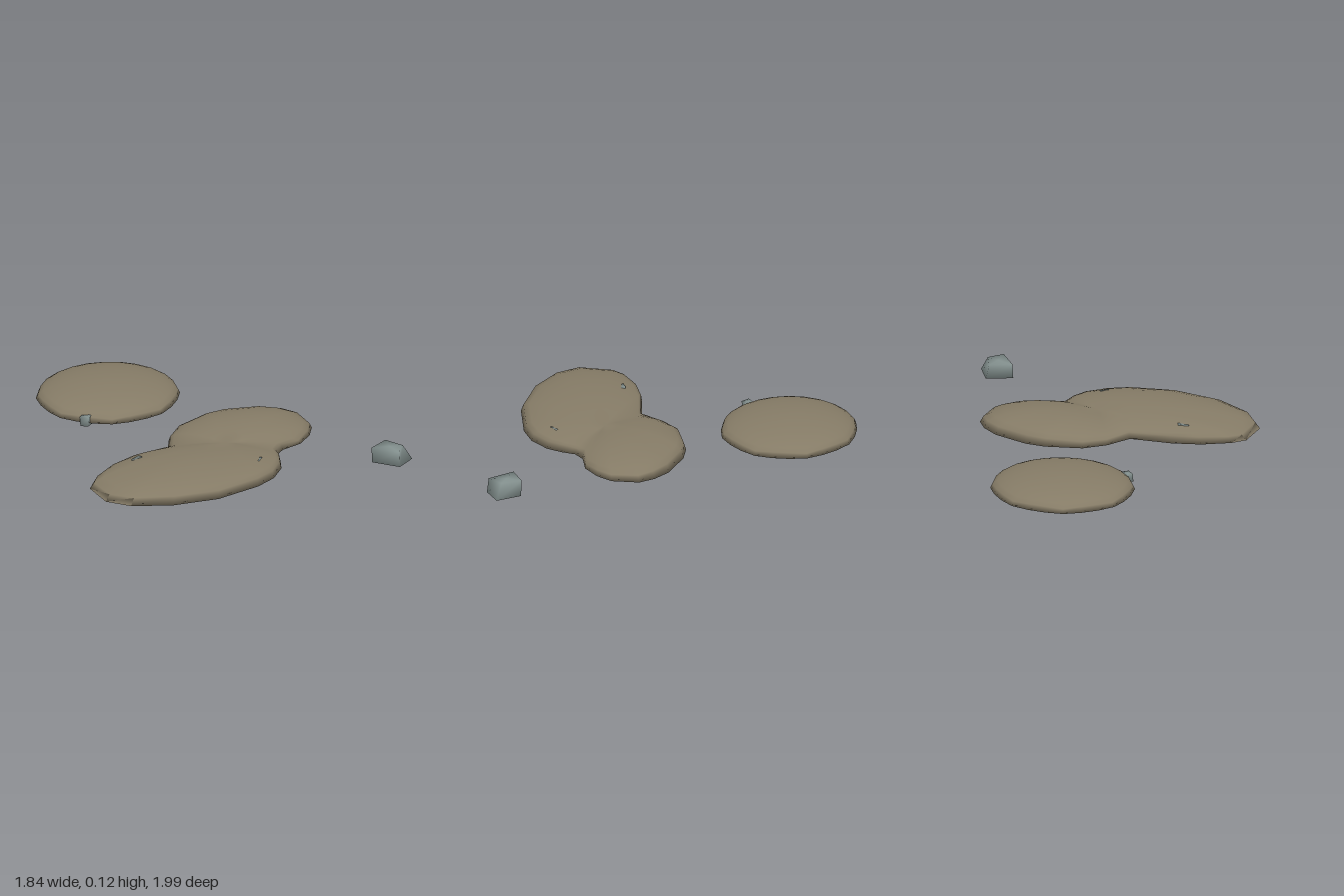
import * as THREE from 'three';

const BASE = 0.015, RISE = 0.105;

// Closed smooth shell through stacked rings, capped by a bottom and a top point
function loft(rings, bottom, top) {
  const n = rings[0].length, pts = rings.flat(), index = [];
  rings.forEach((ring, r) => {
    if (r === 0) return;
    for (let j = 0; j < n; j++) {
      const k = (j + 1) % n, a = (r - 1) * n, b = r * n;
      index.push(a + j, a + k, b + k, a + j, b + k, b + j);
    }
  });
  const low = pts.push(bottom) - 1, high = pts.push(top) - 1;
  const last = (rings.length - 1) * n;
  for (let j = 0; j < n; j++) {
    const k = (j + 1) % n;
    index.push(low, k, j, high, last + j, last + k);
  }
  const geo = new THREE.BufferGeometry();
  geo.setAttribute('position', new THREE.Float32BufferAttribute(pts.flat(), 3));
  geo.setIndex(index);
  geo.computeVertexNormals();
  return geo;
}

// Ground mound: outline shrunk towards a centre, lifted by the highest of some ellipsoids
function mound(outline, [cx, cz], domes) {
  const height = (x, z) => BASE + RISE * Math.max(...domes.map(([ex, ez, rx, rz]) =>
    Math.sqrt(Math.max(0, 1 - ((x - ex) / rx) ** 2 - ((z - ez) / rz) ** 2))));
  const rings = [1, 0.97, 0.9, 0.8, 0.68, 0.54, 0.38, 0.2].map((t) => outline.map(([px, pz]) => {
    const x = cx + (px - cx) * t, z = cz + (pz - cz) * t;
    return [x, t === 1 ? BASE : height(x, z), z];
  }));
  return loft(rings, [cx, BASE, cz], [cx, height(cx, cz), cz]);
}

// Rough block: bottom corners [x, z] at y = 0, top corners [x, y, z]
function rock(bottom, top) {
  const n = bottom.length;
  const mid = (list, i) => list.reduce((s, p) => s + p[i], 0) / n;
  return loft([bottom.map(([x, z]) => [x, 0.003, z]), top],
    [mid(bottom, 0), 0, mid(bottom, 1)], [mid(top, 0), mid(top, 1), mid(top, 2)]);
}

export function createModel() {
  const group = new THREE.Group();
  const earth = new THREE.MeshStandardMaterial({ color: 0x857b66 });
  earth.name = 'earth';
  const stone = new THREE.MeshStandardMaterial({ color: 0x84918f });
  stone.name = 'stone';
  const add = (name, geo, mat) => {
    const mesh = new THREE.Mesh(geo, mat);
    mesh.name = name;
    group.add(mesh);
  };

  // Round mound at the back, with a slightly uneven rim
  const circle = Array.from({ length: 24 }, (_, i) => {
    const a = (i + 0.5) / 24 * Math.PI * 2, w = i % 3 === 1 ? 1.015 : 0.995;
    return [-0.245 + Math.cos(a) * 0.41 * w, -0.61 - Math.sin(a) * 0.39 * w];
  });
  add('roundMound', mound(circle, [-0.245, -0.61], [[-0.245, -0.61, 0.415, 0.395]]), earth);

  // Double mound at the front
  const peanut = [
    [-0.92, 0.48], [-0.92, 0.68], [-0.82, 0.8], [-0.6, 0.9], [-0.33, 0.94], [-0.05, 0.89],
    [0.08, 0.83], [0.18, 0.73], [0.22, 0.64], [0.24, 0.56], [0.3, 0.51], [0.43, 0.48],
    [0.53, 0.4], [0.59, 0.31], [0.59, 0.15], [0.53, 0.07], [0.43, 0], [0.22, -0.06],
    [0.1, -0.06], [-0.11, 0], [-0.22, 0.1], [-0.3, 0.24], [-0.55, 0.27], [-0.71, 0.32], [-0.86, 0.41],
  ];
  add('doubleMound', mound(peanut, [-0.02, 0.42],
    [[-0.34, 0.59, 0.61, 0.37], [0.17, 0.23, 0.44, 0.31]]), earth);

  // Free-standing rock at the front left
  add('looseRock', rock(
    [[0.69, 0.87], [0.8, 1], [0.915, 0.93], [0.83, 0.8]],
    [[0.69, 0.09, 0.86], [0.8, 0.09, 0.99], [0.865, 0.09, 0.91], [0.81, 0.09, 0.8]]), stone);

  // Rocks buried in the mounds, with a corner showing
  add('buriedRockRight', rock(
    [[-0.63, 0.4], [-0.55, 0.53], [-0.44, 0.5], [-0.52, 0.36]],
    [[-0.605, 0.093, 0.385], [-0.55, 0.08, 0.48], [-0.48, 0.08, 0.46], [-0.55, 0.1, 0.365]]), stone);
  add('buriedRockMiddle', rock(
    [[-0.16, 0.56], [0.02, 0.73], [0.08, 0.68], [-0.04, 0.5]],
    [[-0.1, 0.07, 0.58], [0.04, 0.09, 0.725], [0.075, 0.09, 0.69], [-0.02, 0.07, 0.56]]), stone);
  add('rimRock', rock(
    [[-0.565, -0.33], [-0.53, -0.305], [-0.44, -0.36], [-0.5, -0.4]],
    [[-0.565, 0.055, -0.34], [-0.525, 0.055, -0.305], [-0.49, 0.055, -0.34], [-0.54, 0.055, -0.36]]), stone);

  return group;
}
